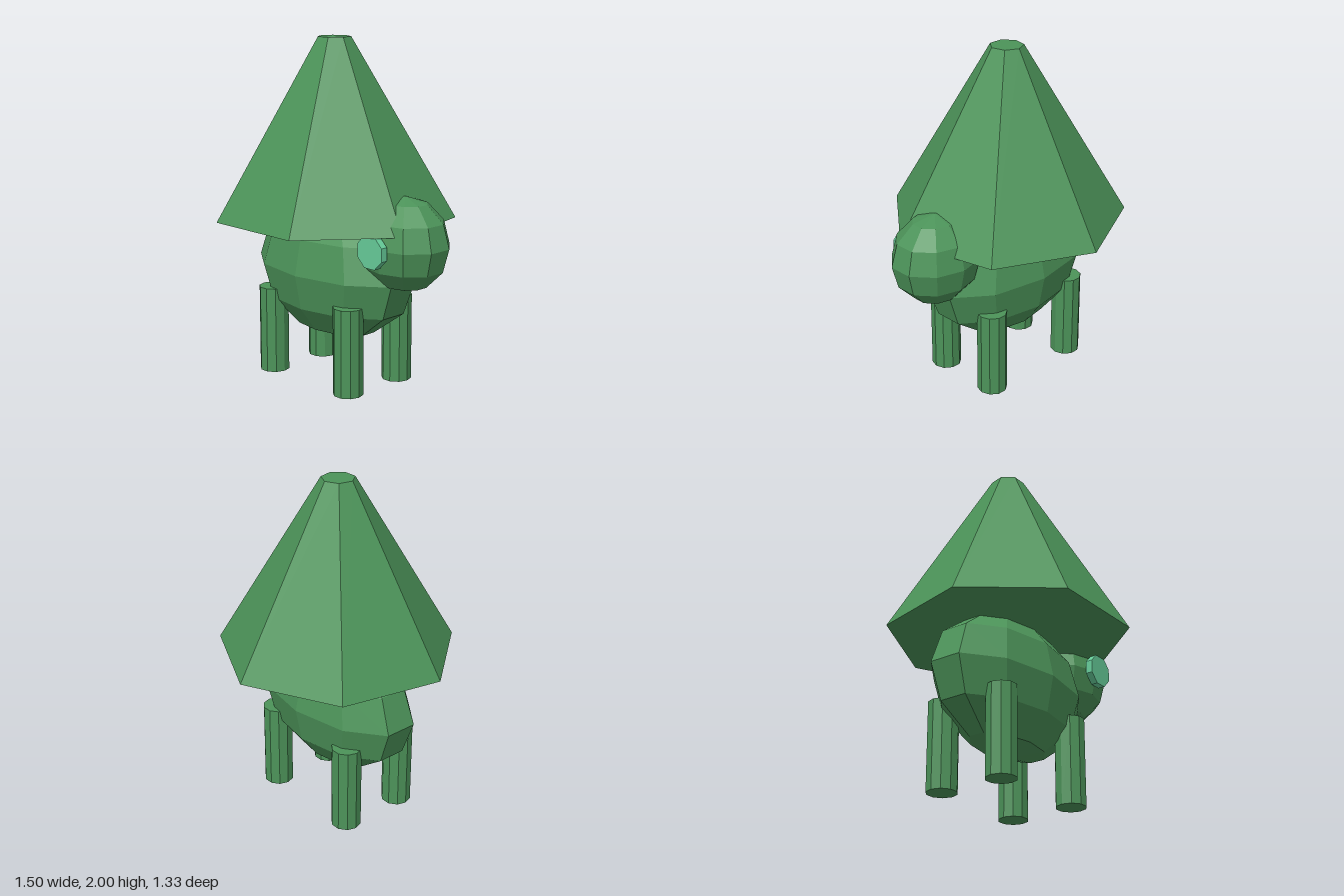
import * as THREE from 'three';

export function createModel() {
  const model = new THREE.Group();
  const green = new THREE.MeshStandardMaterial({ name: 'green', color: 0x4c9359, flatShading: true });
  const mint = new THREE.MeshStandardMaterial({ name: 'mint', color: 0x66cc99, flatShading: true });
  const cx = -0.07, cz = 0.034; // shared axis of shell, body and legs

  function add(name, geometry, material, x, y, z) {
    const mesh = new THREE.Mesh(geometry, material);
    mesh.name = name;
    mesh.position.set(x, y, z);
    model.add(mesh);
  }

  // Ten-sided faceted ellipsoid with a flat facet facing +x
  const ellipsoid = (rx, ry, rz) =>
    new THREE.SphereGeometry(1, 10, 6).rotateY(Math.PI / 2).scale(rx, ry, rz);

  // Seven-sided tapered shell, one corner pointing to the back
  const shell = new THREE.CylinderGeometry(0.097, 0.702, 1.03, 7).rotateY(Math.PI);
  add('shell', shell, green, cx, 1.485, cz);

  add('body', ellipsoid(0.578, 0.41, 0.315), green, cx, 0.655, cz);
  add('head', ellipsoid(0.275, 0.27, 0.235), green, 0.488, 0.89, cz);

  // Single octagonal eye on the front side of the head
  const eye = new THREE.CylinderGeometry(0.098, 0.098, 0.042, 8)
    .rotateY(Math.PI / 8).rotateX(Math.PI / 2);
  add('eye', eye, mint, 0.479, 0.885, 0.284);

  // Four legs
  const leg = new THREE.CylinderGeometry(0.088, 0.088, 0.515, 10).rotateY(Math.PI / 2);
  for (const sx of [-1, 1]) {
    for (const sz of [-1, 1]) {
      const name = (sz > 0 ? 'front' : 'back') + (sx > 0 ? 'Left' : 'Right') + 'Leg';
      add(name, leg, green, cx + sx * 0.315, 0.2575, cz + sz * 0.2);
    }
  }
  return model;
}
